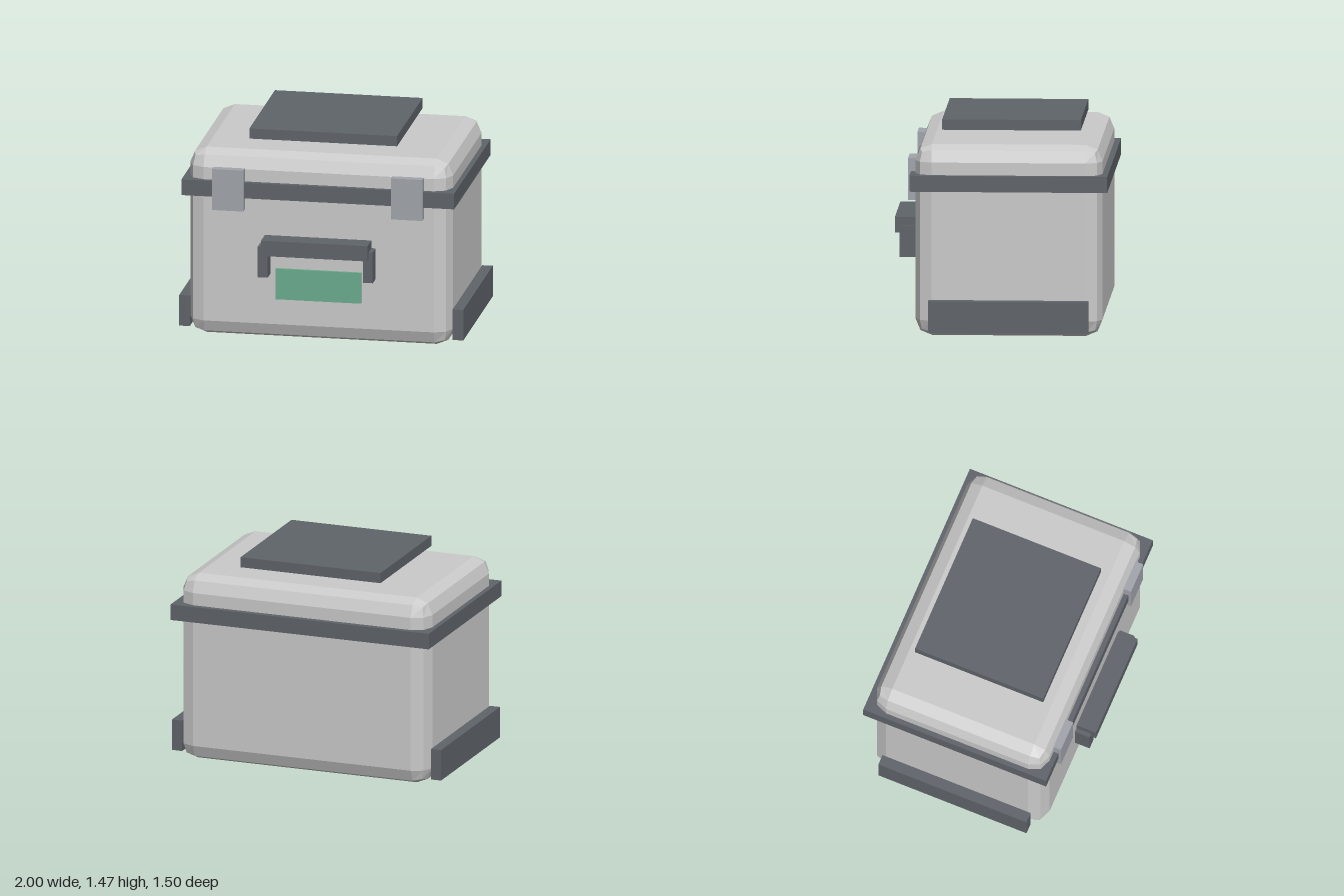
import * as THREE from 'three';
import { RoundedBoxGeometry } from 'three/addons/geometries/RoundedBoxGeometry.js';

const material = (name, color) => {
  const m = new THREE.MeshStandardMaterial({ color });
  m.name = name;
  return m;
};

export function createModel() {
  const shell = material('light grey shell', 0xcacaca);
  const dark = material('dark grey trim', 0x5f646a);
  const metal = material('latch grey', 0xa1a5ac);
  const green = material('label green', 0x6cac8e);

  const model = new THREE.Group();
  model.name = 'storageCase';

  // Box given by its minimum and maximum on each axis
  const box = (name, mat, [x0, x1], [y0, y1], [z0, z1], parent = model) => {
    const mesh = new THREE.Mesh(new THREE.BoxGeometry(x1 - x0, y1 - y0, z1 - z0), mat);
    mesh.position.set((x0 + x1) / 2, (y0 + y1) / 2, (z0 + z1) / 2);
    mesh.name = name;
    parent.add(mesh);
    return mesh;
  };
  // The same box on the left (+x) and the right (-x)
  const pair = (name, mat, [x0, x1], y, z, parent = model) => {
    box(name + 'Left', mat, [x0, x1], y, z, parent);
    box(name + 'Right', mat, [-x1, -x0], y, z, parent);
  };

  // Faceted case with two-step bevels
  const bodyGeometry = new RoundedBoxGeometry(1.85, 1.335, 1.295, 1, 0.115);
  bodyGeometry.computeVertexNormals();
  const body = new THREE.Mesh(bodyGeometry, shell);
  body.name = 'caseBody';
  body.position.set(0, 0.6675, -0.0625);
  model.add(body);

  // Rim around the lid seam and the panel above the lid
  box('lidRim', dark, [-0.96, 0.96], [1.02, 1.132], [-0.75, 0.62]);
  box('topPanel', dark, [-0.52, 0.52], [1.392, 1.465], [-0.545, 0.415]);

  // Latches and side runners
  pair('latch', metal, [0.52, 0.74], [0.93, 1.225], [0.56, 0.64]);
  pair('sideRunner', dark, [0.925, 1], [0.04, 0.26], [-0.62, 0.49]);

  // Front handle
  const handle = new THREE.Group();
  handle.name = 'frontHandle';
  model.add(handle);
  box('handleGrip', dark, [-0.375, 0.375], [0.65, 0.76], [0.605, 0.75], handle);
  pair('handleBracket', dark, [0.335, 0.405], [0.485, 0.705], [0.605, 0.715], handle);

  // Label plate
  box('labelPlate', green, [-0.3, 0.3], [0.3, 0.52], [0.583, 0.604]);

  return model;
}
